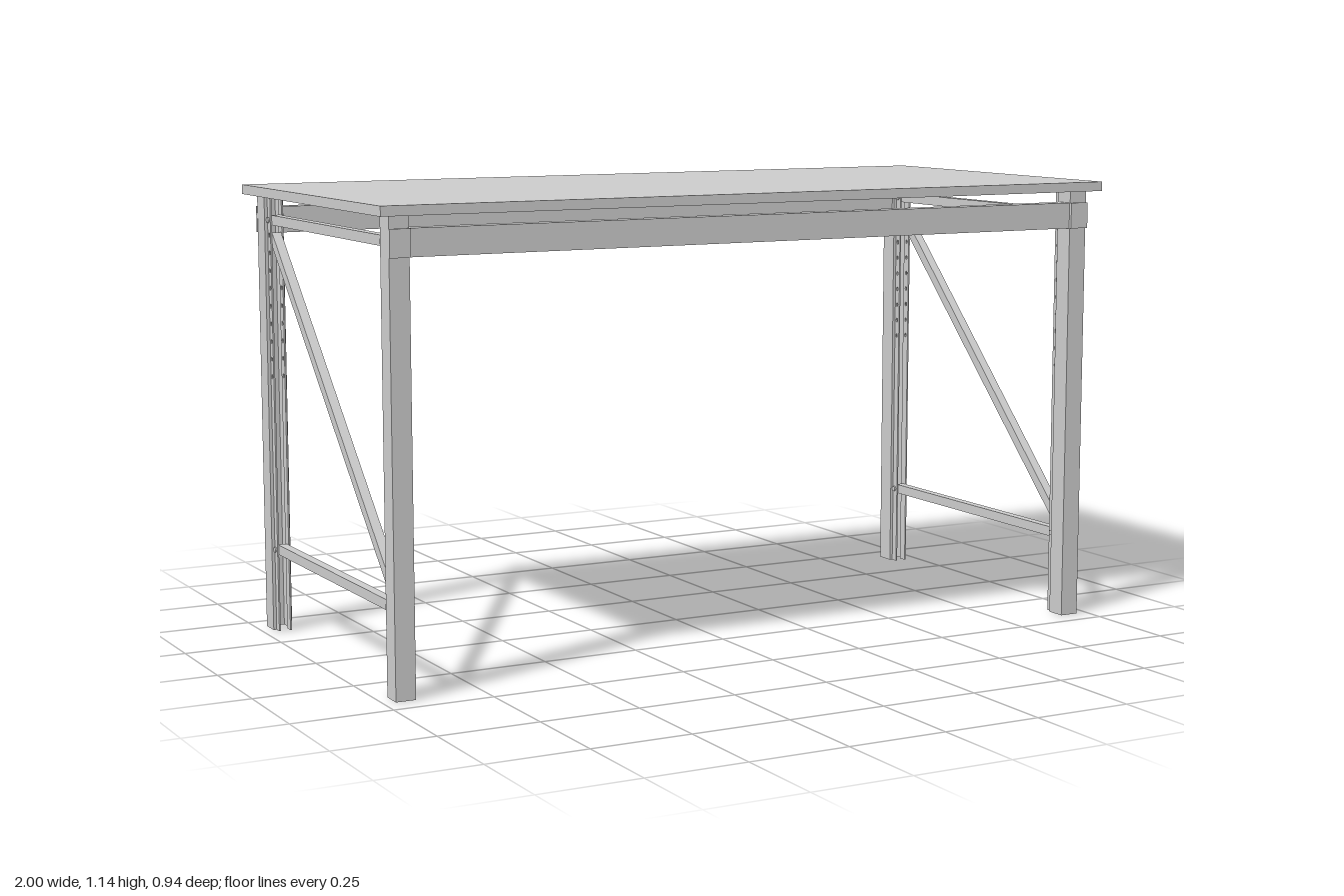
import * as THREE from 'three';

const material = new THREE.MeshStandardMaterial({ color: 0xcccccc, flatShading: true });

const TOP_Y = 1.12;    // underside of the worktop
const POST_X = 0.945;  // post centre line
const WALL = 0.004;    // sheet metal thickness

function add(parent, geometry, name, x = 0, y = 0, z = 0) {
  const mesh = new THREE.Mesh(geometry, material);
  mesh.name = name;
  mesh.position.set(x, y, z);
  parent.add(mesh);
  return mesh;
}

function box(parent, name, w, h, d, x, y, z) {
  return add(parent, new THREE.BoxGeometry(w, h, d), name, x, y, z);
}

// Narrow rear lip of a post, pierced by a row of adjustment holes
function lipGeometry() {
  const lip = new THREE.Shape();
  lip.moveTo(-0.011, 0);
  lip.lineTo(0.011, 0);
  lip.lineTo(0.011, TOP_Y);
  lip.lineTo(-0.011, TOP_Y);
  lip.closePath();
  for (let i = 0; i < 9; i++) {
    const hole = new THREE.Path();
    hole.absellipse(0, 0.66 + i * 0.045, 0.004, 0.006, 0, Math.PI * 2, true);
    lip.holes.push(hole);
  }
  const geometry = new THREE.ExtrudeGeometry(lip, { depth: WALL, bevelEnabled: false, curveSegments: 4 });
  geometry.translate(0, 0, -WALL / 2);
  geometry.rotateY(Math.PI / 2);
  return geometry;
}

// Open channel post; its web faces outward along side * z
function post(side, lip) {
  const group = new THREE.Group();
  group.name = side > 0 ? 'frontPost' : 'backPost';
  const y = TOP_Y / 2;
  box(group, 'postWeb', 0.05, TOP_Y, WALL, 0, y, side * (0.44 - WALL / 2));
  for (const s of [-1, 1]) {
    box(group, 'postFlange', WALL, TOP_Y, 0.05, s * (0.025 - WALL / 2), y, side * 0.413);
    box(group, 'postShoulder', 0.012, TOP_Y, WALL, s * 0.019, y, side * 0.39);
    add(group, lip, 'postLip', s * 0.015, 0, side * 0.379);
  }
  return group;
}

// Two posts joined by struts, a diagonal brace and bolts
function endFrame(sx, lip) {
  const frame = new THREE.Group();
  frame.name = sx > 0 ? 'leftEndFrame' : 'rightEndFrame';
  frame.position.x = sx * POST_X;
  for (const side of [-1, 1]) frame.add(post(side, lip));

  for (const y of [0.212, 1.058]) {
    box(frame, 'strut', 0.024, 0.025, 0.76, 0, y, 0);
    for (const side of [-1, 1]) {
      const bolt = add(frame, new THREE.CylinderGeometry(0.007, 0.007, 0.042, 12), 'bolt', 0, y, side * 0.38);
      bolt.rotation.z = Math.PI / 2;
    }
  }

  // Diagonal rises from the front post to the back post
  const low = new THREE.Vector3(0, 0.258, 0.38);
  const high = new THREE.Vector3(0, 1.018, -0.38);
  const brace = box(frame, 'diagonalBrace', 0.024, 0.025, low.distanceTo(high), 0, 0, 0);
  brace.position.copy(low).add(high).multiplyScalar(0.5);
  brace.rotation.x = Math.atan2(high.y - low.y, low.z - high.z);
  return frame;
}

export function createModel() {
  const model = new THREE.Group();
  model.name = 'workbench';

  box(model, 'worktop', 2, 0.024, 0.935, 0, TOP_Y + 0.012, 0);

  const lip = lipGeometry();
  for (const sx of [-1, 1]) model.add(endFrame(sx, lip));

  // Long beams with end plates lapping over the posts
  for (const side of [-1, 1]) {
    const beam = new THREE.Group();
    beam.name = side > 0 ? 'frontBeam' : 'backBeam';
    box(beam, 'beam', 1.84, 0.066, 0.04, 0, 1.057, side * 0.418);
    for (const sx of [-1, 1]) {
      box(beam, 'beamEndPlate', 0.052, 0.066, 0.008, sx * 0.945, 1.057, side * 0.443);
    }
    model.add(beam);
  }
  return model;
}
